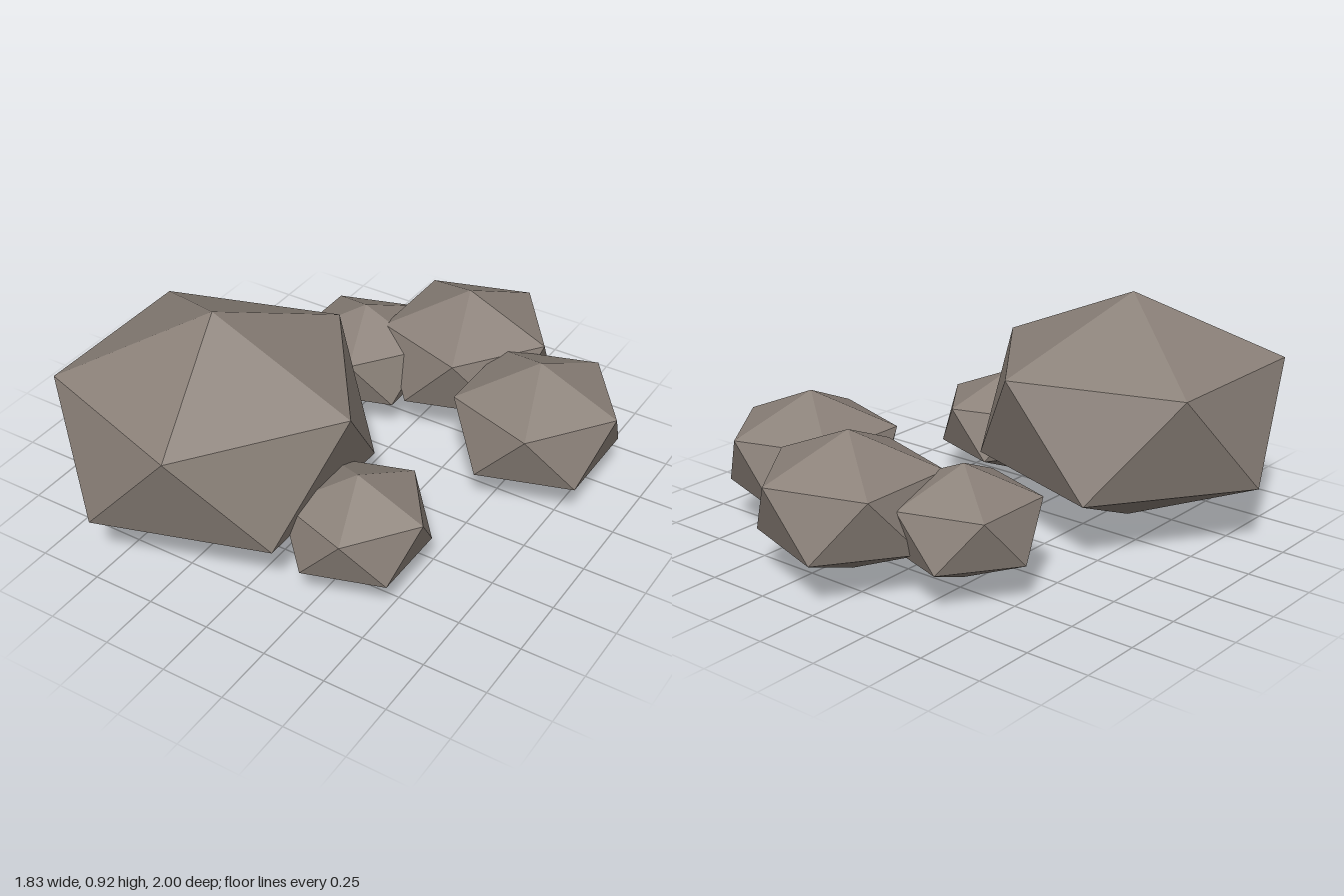
import * as THREE from 'three';

const FLATTEN = 0.7;
const GOLDEN = (1 + Math.sqrt(5)) / 2;

// A squat low-poly boulder: one corner points straight up, one upper corner towards +x
function makeRock(name, radius, x, y, z, material) {
  const geometry = new THREE.IcosahedronGeometry(radius, 0);
  geometry.rotateZ(-Math.atan(1 / GOLDEN));
  geometry.scale(1, FLATTEN, 1);
  geometry.computeVertexNormals();
  const rock = new THREE.Mesh(geometry, material);
  rock.name = name;
  rock.position.set(x, y, z);
  return rock;
}

export function createModel() {
  const group = new THREE.Group();
  group.name = 'rockCluster';
  const stone = new THREE.MeshStandardMaterial({ color: 0x8a8078, flatShading: true });

  // name, radius, centre x, y, z
  const rocks = [
    ['largeRock', 0.655, -0.33, 0.46, 0.44],
    ['smallFrontRock', 0.304, 0.304, 0.253, 0.47],
    ['leftRock', 0.368, 0.583, 0.29, -0.393],
    ['backRock', 0.385, 0.12, 0.302, -0.672],
    ['smallBackRock', 0.314, -0.257, 0.258, -0.483],
  ];
  for (const [name, radius, x, y, z] of rocks) {
    group.add(makeRock(name, radius, x, y, z, stone));
  }
  return group;
}
